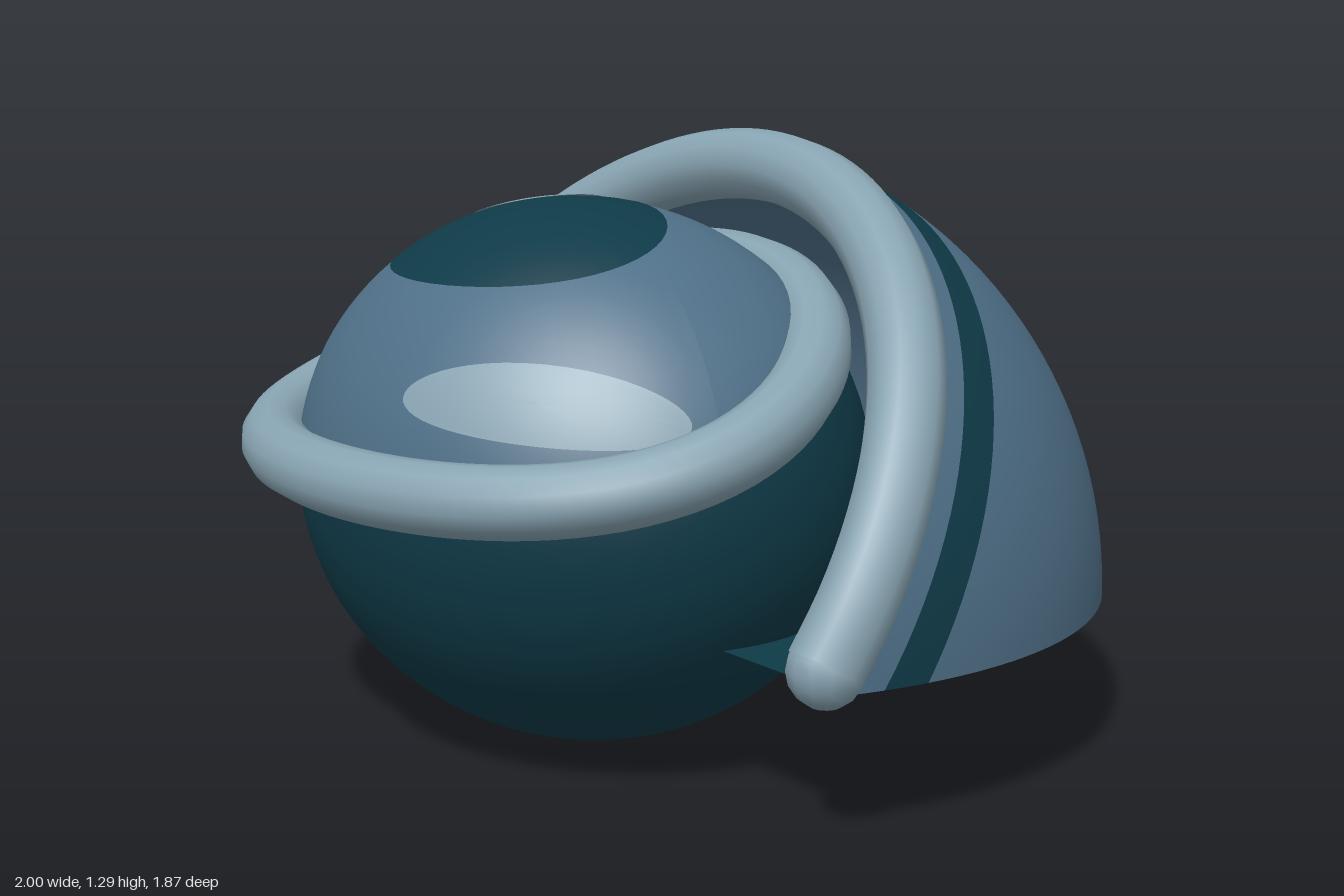
import * as THREE from 'three';

const V = (x, y, z) => new THREE.Vector3(x, y, z);
const make = (name, hex) => {
  const m = new THREE.MeshStandardMaterial({ color: hex, side: THREE.DoubleSide });
  m.name = name;
  return m;
};

// Grid surface: fn(u, v) returns a point, facing du x dv
function surface(fn, uSegs, vSegs) {
  const g = new THREE.PlaneGeometry(1, 1, uSegs, vSegs);
  const { position, uv } = g.attributes;
  for (let i = 0; i < position.count; i++) {
    const p = fn(uv.getX(i), uv.getY(i));
    position.setXYZ(i, p.x, p.y, p.z);
  }
  g.computeVertexNormals();
  return g;
}

// Eyeball ellipsoid
const ballCentre = V(0, 0.583, 0.245);
const ballRadii = V(0.69, 0.582, 0.582);
const onBall = (dir, lift = 1) =>
  dir.clone().normalize().multiply(ballRadii).multiplyScalar(lift).add(ballCentre);

// Eyelid loop: oval from above, sweeping upwards towards the back
function lidPoint(a) {
  const z = 0.357 + 0.51 * Math.sin(a);
  const s = 0.867 - z;
  return V(0.7 * Math.cos(a), 0.637 + 0.04 * s + 0.31 * s * s, z);
}

// Half of the eyeball, from the lid line to a pole
function ballPart(upper) {
  const pole = V(0, upper ? 1 : -1, 0);
  return surface((u, v) => {
    const edge = lidPoint(-2 * Math.PI * u).sub(ballCentre).divide(ballRadii).normalize();
    const k = upper ? v : 1 - v;
    const angle = edge.angleTo(pole);
    const dir = edge.multiplyScalar(Math.sin((1 - k) * angle))
      .addScaledVector(pole, Math.sin(k * angle));
    return onBall(dir);
  }, 72, 28);
}

// Oval painted on the eyeball; half-angles a, b in degrees, turned by roll
function ballSpot(dir, a, b, roll, lift) {
  const d = dir.clone().normalize();
  const t1 = V(0, 1, 0).cross(d).normalize();
  const t2 = d.clone().cross(t1);
  t1.applyAxisAngle(d, roll);
  t2.applyAxisAngle(d, roll);
  const ra = Math.tan(THREE.MathUtils.degToRad(a));
  const rb = Math.tan(THREE.MathUtils.degToRad(b));
  return surface((u, v) => {
    const t = -2 * Math.PI * u;
    return onBall(d.clone().addScaledVector(t1, ra * v * Math.cos(t))
      .addScaledVector(t2, rb * v * Math.sin(t)), lift);
  }, 48, 10);
}

// Shell: sphere sliced by a leaning plane in front and flat at the bottom
const shellCentre = V(0, 0.315, 0.07);
const lean = V(0, 0.528, 0.849);
const rise = V(0, 0.849, -0.528);
const ringPoint = (c, r, phi) => shellCentre.clone().addScaledVector(lean, c)
  .addScaledVector(rise, r * Math.sin(phi)).add(V(r * Math.cos(phi), 0, 0));

function shellBand(front, back, vSegs) {
  const t0 = Math.acos(front), t1 = Math.acos(back);
  return surface((u, v) => {
    const t = t1 + (t0 - t1) * v;
    const c = Math.cos(t), r = Math.sin(t);
    const start = Math.asin(THREE.MathUtils.clamp((-lean.y * c) / (rise.y * r), -1, 1));
    return ringPoint(c, 0.998 * r, start + (Math.PI - 2 * start) * u);
  }, 72, vSegs);
}

export function createModel() {
  const slate = make('slate blue', 0x4f7088);
  const teal = make('dark teal', 0x0f3a48);
  const pale = make('pale blue grey', 0x88a4b2);
  const model = new THREE.Group();
  const add = (name, geometry, material, parent = model) => {
    const m = new THREE.Mesh(geometry, material);
    m.name = name;
    parent.add(m);
    return m;
  };

  // Eyeball with iris and glints
  const eye = new THREE.Group();
  eye.name = 'eyeball';
  model.add(eye);
  add('upperBall', ballPart(true), slate, eye);
  add('lowerBall', ballPart(false), teal, eye);
  add('iris', ballSpot(V(0, 0.966, 0.262), 31.3, 27.2, 0, 1.004), teal, eye);
  add('topGlint', ballSpot(V(-0.26, 0.965, -0.026), 14, 11.9, 0, 1.008), pale, eye);
  add('sideGlint', ballSpot(V(0.635, 0.407, 0.657), 27.5, 8, -0.06, 1.004), pale, eye);

  // Eyelid tube around the eyeball
  const lidPoints = Array.from({ length: 32 }, (_, i) => lidPoint((i / 32) * Math.PI * 2));
  const lidCurve = new THREE.CatmullRomCurve3(lidPoints, true);
  add('eyelid', new THREE.TubeGeometry(lidCurve, 96, 0.073, 12, true), pale);

  // Shell with a painted stripe
  const shell = new THREE.Group();
  shell.name = 'shell';
  model.add(shell);
  add('shellLip', shellBand(0.215, 0.128, 4), slate, shell);
  add('shellStripe', shellBand(0.128, 0.043, 4), teal, shell);
  add('shellBack', shellBand(0.043, -0.849, 36), slate, shell);

  // Shell floor, straight across the front
  const floor = new THREE.Shape();
  floor.absarc(0, -0.07, 0.88, -0.282, Math.PI + 0.282, false);
  const floorMesh = add('shellFloor', new THREE.ShapeGeometry(floor, 48), teal, shell);
  floorMesh.rotation.x = -Math.PI / 2;
  floorMesh.position.y = 0.32;

  // Rim tube along the shell opening, with rounded ends
  const rimPoints = Array.from({ length: 25 }, (_, i) =>
    ringPoint(0.222, 0.922, -0.1 + ((Math.PI + 0.2) * i) / 24));
  const rimCurve = new THREE.CatmullRomCurve3(rimPoints);
  add('rim', new THREE.TubeGeometry(rimCurve, 72, 0.079, 12, false), pale);
  for (const p of [rimPoints[0], rimPoints[24]]) {
    add('rimEnd', new THREE.SphereGeometry(0.077, 12, 8), pale).position.copy(p);
  }
  return model;
}
